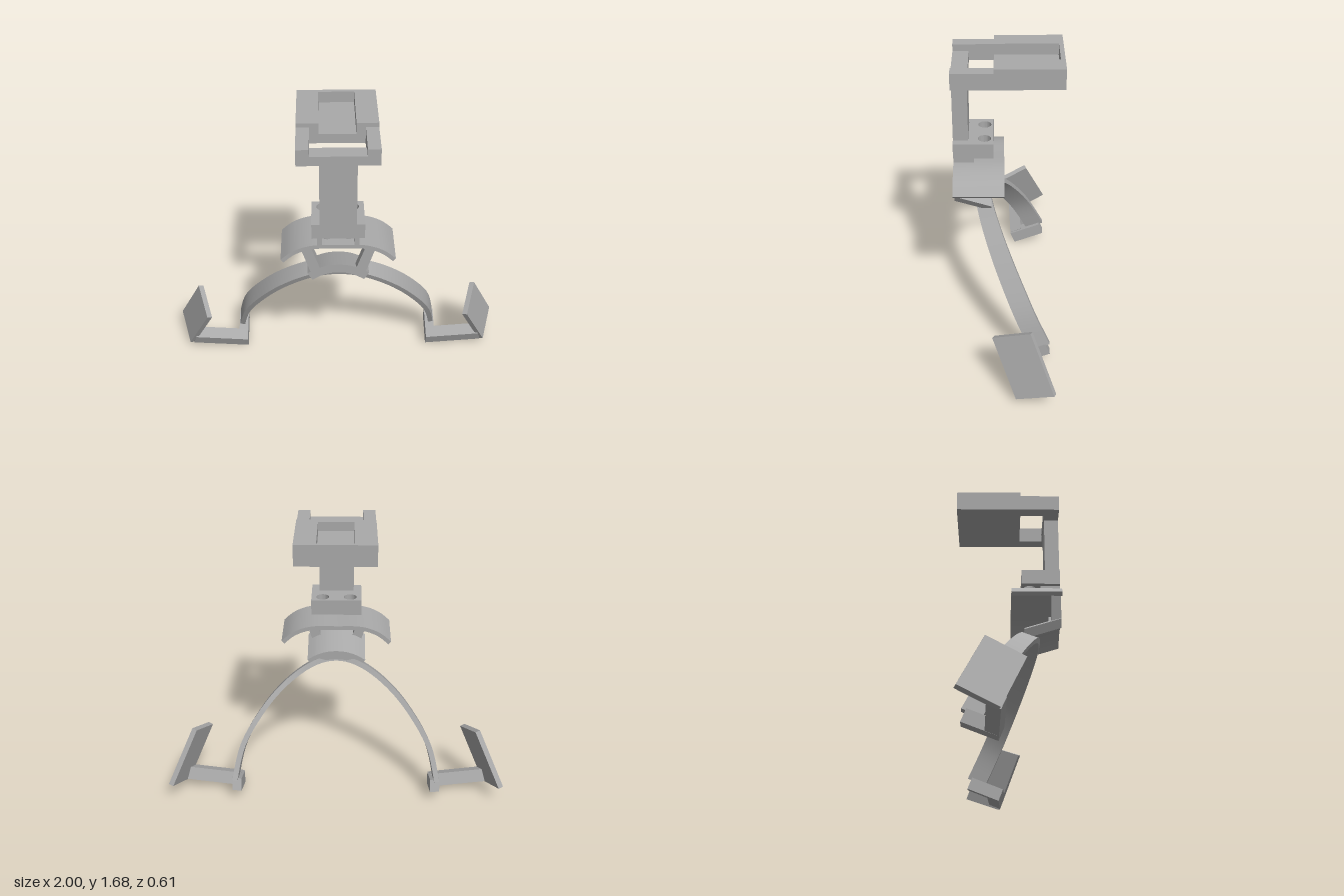
import * as THREE from 'three';
import { toCreasedNormals } from 'three/addons/utils/BufferGeometryUtils.js';

const V = (x, y, z) => new THREE.Vector3(x, y, z);

// closed solid through four-cornered rings
function loft(rings) {
  const pos = [];
  const quad = (a, b, c, d) => [a, b, c, a, c, d].forEach((p) => pos.push(p.x, p.y, p.z));
  for (let i = 0; i < rings.length - 1; i++) {
    const p = rings[i], q = rings[i + 1];
    for (let j = 0; j < 4; j++) {
      const k = (j + 1) % 4;
      quad(p[j], q[j], q[k], p[k]);
    }
  }
  quad(...rings[0]);
  quad(...[...rings[rings.length - 1]].reverse());
  const g = new THREE.BufferGeometry();
  g.setAttribute('position', new THREE.Float32BufferAttribute(pos, 3));
  return toCreasedNormals(g, 0.5);
}

// slanted block: a corner and three edge vectors
function prism(o, a, b, c) {
  if (a.dot(b.clone().cross(c)) > 0) [b, c] = [c, b];
  const ring = [o, o.clone().add(b), o.clone().add(b).add(c), o.clone().add(c)];
  return loft([ring, ring.map((p) => p.clone().add(a))]);
}

// polygon in the front plane, extruded from z0 to z1
function plate(points, z0, z1) {
  const shape = new THREE.Shape(points.map((p) => new THREE.Vector2(p[0], p[1])));
  const g = new THREE.ExtrudeGeometry(shape, { depth: z1 - z0, bevelEnabled: false });
  return g.translate(0, 0, z0);
}

// curved strip outline from a half profile of its top edge
function strip(half, thickness) {
  const full = [...half.slice(1).reverse().map(([x, y]) => [-x, y]), ...half];
  const curve = new THREE.SplineCurve(full.map((p) => new THREE.Vector2(...p)));
  const top = [], bottom = [];
  for (let i = 0; i <= 28; i++) {
    const p = curve.getPoint(i / 28), t = curve.getTangent(i / 28);
    top.push([p.x, p.y]);
    bottom.unshift([p.x + t.y * thickness, p.y - t.x * thickness]);
  }
  return [...top, ...bottom];
}

export function createModel() {
  const model = new THREE.Group();
  const grey = new THREE.MeshStandardMaterial({ color: 0xa9a9a9 });
  grey.name = 'plain grey';
  const add = (name, geometry) => {
    const mesh = new THREE.Mesh(geometry, grey);
    mesh.name = name;
    model.add(mesh);
  };
  const box = (name, x0, x1, y0, y1, z0, z1) =>
    add(name, new THREE.BoxGeometry(x1 - x0, y1 - y0, z1 - z0)
      .translate((x0 + x1) / 2, (y0 + y1) / 2, (z0 + z1) / 2));
  const pair = (name, x0, x1, ...rest) => {
    box(name, x0, x1, ...rest);
    box(name, -x1, -x0, ...rest);
  };

  // top tray with pocket and through opening
  box('trayFloor', -0.22, 0.22, 1.56, 1.615, -0.305, 0.075);
  pair('trayRail', 0.1, 0.22, 1.615, 1.68, -0.305, 0.075);
  box('trayBackLip', -0.1, 0.1, 1.615, 1.68, -0.305, -0.28);
  pair('trayFrontSide', 0.15, 0.22, 1.56, 1.655, 0.075, 0.305);
  box('trayFrontStrip', -0.15, 0.15, 1.56, 1.615, 0.215, 0.305);

  // post and drilled block
  box('post', -0.1, 0.1, 1.19, 1.56, 0.22, 0.305);
  const blockShape = new THREE.Shape([
    [-0.145, -0.305], [0.145, -0.305], [0.145, -0.08], [-0.145, -0.08],
  ].map((p) => new THREE.Vector2(...p)));
  for (const x of [-0.08, 0.08]) {
    blockShape.holes.push(new THREE.Path().absarc(x, -0.13, 0.037, 0, Math.PI * 2, true));
  }
  const block = new THREE.ExtrudeGeometry(blockShape, { depth: 0.09, bevelEnabled: false, curveSegments: 24 });
  add('drilledBlock', toCreasedNormals(block.rotateX(-Math.PI / 2).translate(0, 1.1, 0), 0.5));

  // neck between block and curved plate
  pair('neckSide', 0.088, 0.115, 1.035, 1.1, 0.19, 0.305);
  for (const x of [-0.06, 0.06]) {
    add('neckPeg', new THREE.CylinderGeometry(0.03, 0.03, 0.07, 20).translate(x, 1.067, 0.222));
  }

  // curved rest plate
  const rest = strip([[0, 1.055], [0.12, 1.055], [0.2, 1.038], [0.265, 1.005], [0.318, 0.958]], 0.024);
  add('curvedPlate', toCreasedNormals(plate(rest, 0.02, 0.305), 0.5));

  // struts down to the saddle
  for (const s of [1, -1]) {
    add('strut', plate([[0.205, 1.03], [0.148, 1.035], [0.095, 0.88], [0.15, 0.86]]
      .map(([x, y]) => [s * x, y]), 0.25, 0.305));
  }

  // arched saddle, sloping down towards the back
  const saddle = plate(strip([[0, 0.92], [0.06, 0.914], [0.12, 0.893], [0.172, 0.862]], 0.054), 0.095, 0.305);
  const sp = saddle.attributes.position;
  for (let i = 0; i < sp.count; i++) sp.setY(i, sp.getY(i) - 0.32 * (0.305 - sp.getZ(i)));
  add('saddle', toCreasedNormals(saddle, 0.5));

  // leaning arch that forms both arms
  const half = [[0, 0.755], [0.14, 0.722], [0.29, 0.622], [0.422, 0.482], [0.54, 0.295], [0.59, 0.1]];
  const path = new THREE.SplineCurve([...half.slice(1).reverse().map(([x, y]) => [-x, y]), ...half]
    .map((p) => new THREE.Vector2(...p)));
  const rings = [];
  for (let i = 0; i <= 48; i++) {
    const p = path.getPoint(i / 48), t = path.getTangent(i / 48);
    const inner = V(p.x, p.y, 0.18 + (p.y - 0.755) * 0.474);
    const out = V(-t.y, t.x, 0.3 * t.x).multiplyScalar(0.03);
    const width = 0.088 + 0.027 * Math.min(1, Math.abs(p.x) / 0.5);
    const back = V(0, 0.37, -0.93).multiplyScalar(width);
    rings.push([inner, inner.clone().add(out), inner.clone().add(out).add(back), inner.clone().add(back)]);
  }
  add('arch', loft(rings));

  // feet and outer pads
  for (const s of [1, -1]) {
    const M = (x, y, z) => V(s * x, y, z);
    add('footTab', prism(M(0.567, 0, -0.05), M(0.055, 0.006, 0), M(0, 0.074, -0.188), M(0, 0.07, 0.028)));
    add('footBar', prism(M(0.6, 0.0035, -0.049), M(0.312, 0.034, 0.01), M(0, 0.028, -0.07), M(-0.02, 0.07, 0.028)));
    add('pad', prism(M(0.935, 0.04, -0.04), M(-0.145, 0.315, 0.128), M(0.065, 0.085, -0.205), M(-0.027, -0.008, -0.012)));
  }
  return model;
}
